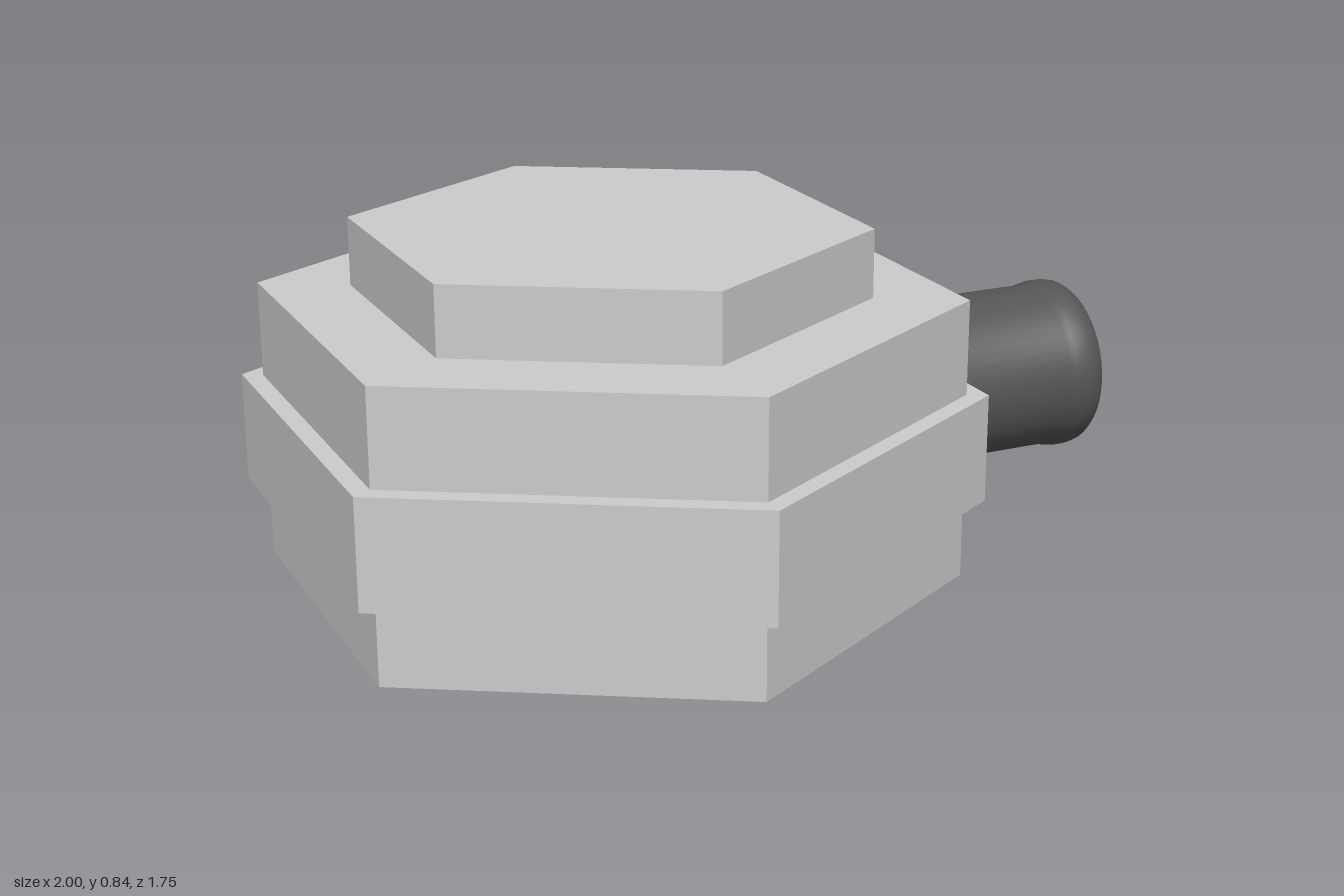
import * as THREE from 'three';
import { toCreasedNormals } from 'three/addons/utils/BufferGeometryUtils.js';

const HEX_X = -0.24; // axis of the hexagonal body

export function createModel() {
  const model = new THREE.Group();
  model.name = 'hexBodyWithNeck';
  const bodyMaterial = new THREE.MeshStandardMaterial({ color: 0xcccccc, flatShading: true });
  const neckMaterial = new THREE.MeshStandardMaterial({ color: 0x555555 });

  // Hexagonal prism standing between two heights, corners towards +z and -z
  function hexPrism(name, radius, y0, y1) {
    const mesh = new THREE.Mesh(new THREE.CylinderGeometry(radius, radius, y1 - y0, 6), bodyMaterial);
    mesh.name = name;
    mesh.position.set(HEX_X, (y0 + y1) / 2, 0);
    model.add(mesh);
  }
  hexPrism('body', 0.826, 0, 0.677);
  hexPrism('middleBand', 0.877, 0.19, 0.45);
  hexPrism('topCap', 0.606, 0.677, 0.84);

  // Turned part around the x axis, from [radius, x] pairs
  function turned(name, profile) {
    const lathe = new THREE.LatheGeometry(profile.map(([r, x]) => new THREE.Vector2(r, x)), 48);
    const mesh = new THREE.Mesh(toCreasedNormals(lathe, 0.6), neckMaterial);
    mesh.name = name;
    mesh.rotation.z = -Math.PI / 2;
    mesh.position.y = 0.34;
    model.add(mesh);
  }

  // Rounded collar where the neck meets the body
  turned('neckCollar', [
    [0, 0.44], [0.226, 0.44], [0.232, 0.48], [0.238, 0.5], [0.24, 0.52],
    [0.238, 0.545], [0.232, 0.565], [0.224, 0.577], [0.218, 0.58], [0, 0.58],
  ]);

  // Pipe with a slightly swollen lip and a shallow recessed mouth
  turned('neckPipe', [
    [0.203, 0.5], [0.203, 0.9], [0.207, 0.92], [0.211, 0.94], [0.211, 0.965],
    [0.207, 0.985], [0.198, 0.997], [0.186, 1], [0.175, 0.997], [0.167, 0.985],
    [0.164, 0.965], [0.147, 0.935], [0.145, 0.93], [0, 0.93],
  ]);

  return model;
}
